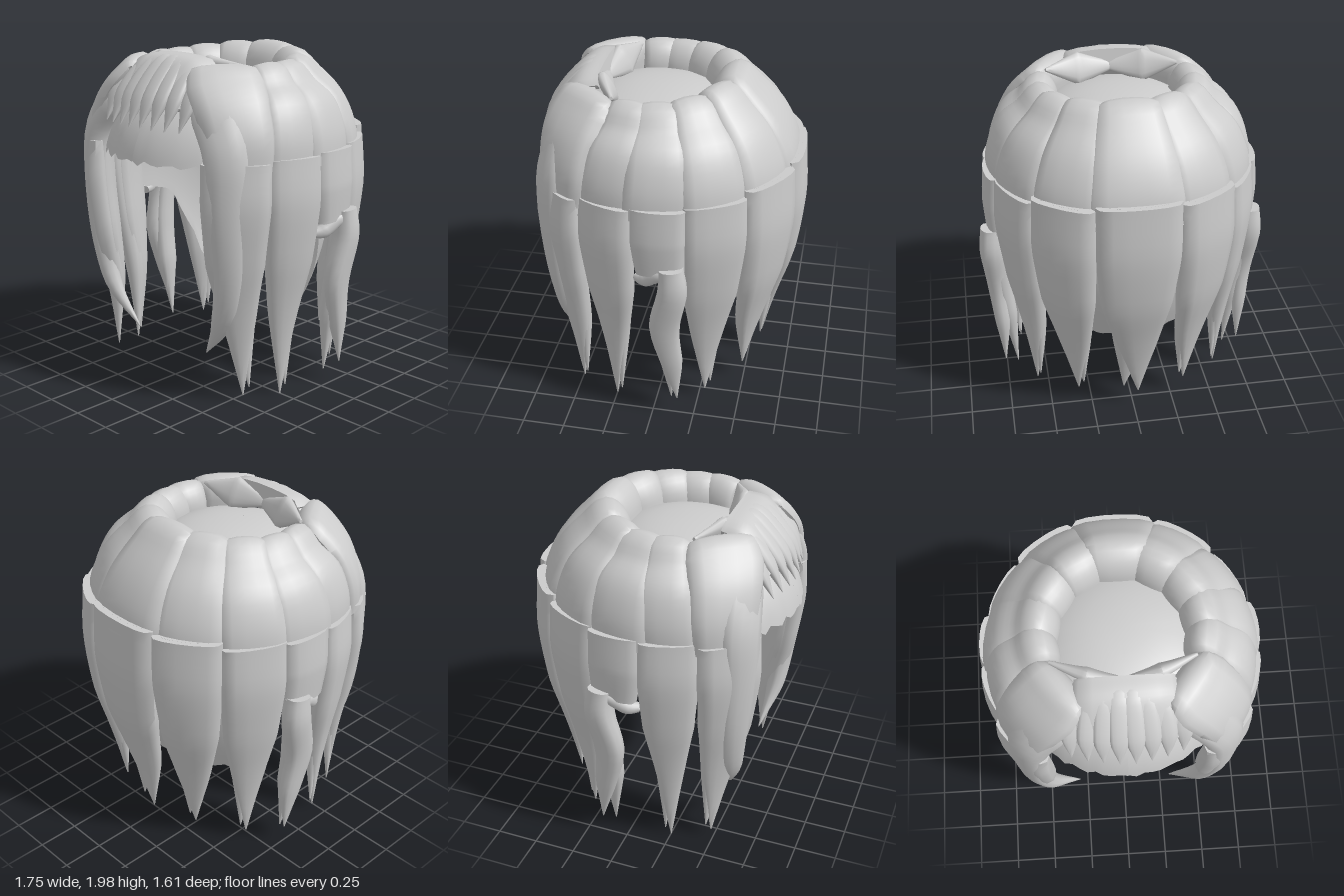
import * as THREE from 'three';
import { toCreasedNormals } from 'three/addons/utils/BufferGeometryUtils.js';

const material = new THREE.MeshStandardMaterial({ color: 0xcccccc, side: THREE.DoubleSide });
const V = (x, y, z) => new THREE.Vector3(x, y, z);
const lerp = THREE.MathUtils.lerp, rad = THREE.MathUtils.degToRad;

// linear interpolation along a short list, t in 0..1
function sample(list, t) {
  const f = t * (list.length - 1), i = Math.min(Math.floor(f), list.length - 2);
  return lerp(list[i], list[i + 1], f - i);
}

function meshFrom(name, pos, idx, crease) {
  const g = new THREE.BufferGeometry();
  g.setAttribute('position', new THREE.Float32BufferAttribute(pos, 3));
  g.setIndex(idx);
  const mesh = new THREE.Mesh(toCreasedNormals(g, crease), material);
  mesh.name = name;
  return mesh;
}

// lens-shaped lock swept along a path; side is the width direction
function strand(name, points, widths, thicks, side, steps = 18) {
  const curve = new THREE.CatmullRomCurve3(points, false, 'centripetal');
  const n = 14, pos = [], idx = [];
  for (let i = 0; i <= steps; i++) {
    const t = i / steps, p = curve.getPoint(t), T = curve.getTangent(t);
    const B = side ? side.clone() : V(p.x, 0, p.z).cross(T);
    B.addScaledVector(T, -B.dot(T)).normalize();
    const N = T.clone().cross(B), w = sample(widths, t), h = sample(thicks, t);
    for (let j = 0; j < n; j++) {
      const a = j / n * Math.PI * 2, s = Math.sin(a);
      const q = p.clone().addScaledVector(B, Math.cos(a) * w)
        .addScaledVector(N, Math.sign(s) * Math.abs(s) ** 0.65 * h);
      pos.push(q.x, q.y, q.z);
      if (i < steps) {
        const k = (j + 1) % n, r = i * n, u = r + n;
        idx.push(r + j, r + k, u + k, r + j, u + k, u + j);
      }
    }
  }
  // close both ends
  for (let j = 1; j < n - 1; j++) {
    const e = steps * n;
    idx.push(0, j + 1, j, e, e + j, e + j + 1);
  }
  return meshFrom(name, pos, idx, 0.9);
}

// point at an azimuth measured from the back (-z) towards +x
const polar = (deg, r, y, zc = 0.04) => V(Math.sin(rad(deg)) * r, y, zc - Math.cos(rad(deg)) * r);

// thin scalp shell with a ragged hairline: high at the face, low at the nape
function scalp() {
  const cols = 96, rows = 22, pos = [], idx = [];
  for (let i = 0; i <= cols; i++) {
    const deg = -180 + 360 * i / cols, fromBack = Math.abs(deg);
    let edge = lerp(0.44, 1.0, THREE.MathUtils.smoothstep(fromBack, 50, 82));
    if (fromBack > 85) edge = lerp(1.0, 1.4, THREE.MathUtils.smoothstep(fromBack, 85, 135));
    edge += 0.014 * Math.sin(i * 2.1) + 0.008 * Math.sin(i * 3.7);
    const front = 1 + 0.1 * Math.max(0, -Math.cos(rad(deg)));
    for (let j = 0; j <= rows; j++) {
      const t = j / rows, y = lerp(1.85, edge, t * t * (1.6 - 0.6 * t));
      const r = y > 1.15 ? 0.67 * Math.max(0, 1 - ((y - 1.15) / 0.7) ** 2.6) ** 0.42
        : 0.67 - 0.16 * ((1.15 - y) / 0.7) ** 2;
      const p = polar(deg, r * front, y, 0.09);
      pos.push(p.x, p.y, p.z);
      if (i < cols && j < rows) {
        const a = i * (rows + 1) + j, b = a + rows + 1;
        idx.push(a, b + 1, a + 1, a, b, b + 1);
      }
    }
  }
  return meshFrom('scalp', pos, idx, 1.2);
}

// one crown lobe, rolling from the side over the rim into the crown hollow
function crownLobe(deg, half, peak) {
  const profile = [[0.72, 1.38], [0.71, 1.54], [0.65, 1.7], [0.55, 1.84], [0.46, 1.935], [0.405, 1.89], [0.385, 1.74]];
  const path = [], widths = [];
  profile.forEach(([r, y], i) => {
    const t = i / (profile.length - 1);
    path.push(polar(deg * lerp(1, 0.88, t), r, y - (y > 1.8 ? 2 - peak : 0), lerp(0.04, 0.14, t)));
    widths.push(r * rad(half) * 1.12 + 0.01);
  });
  const a = rad(deg * 0.95);
  return strand('crownLobe', path, widths, [0.08, 0.075, 0.07, 0.065, 0.06, 0.05, 0.045], V(Math.cos(a), 0, Math.sin(a)), 24);
}

// a hanging lock with a main tip and a slimmer second tip close by
function hangingLock(deg, half, top, tip, spread, out = 1) {
  const w = 0.76 * rad(half) * 1.08, g = new THREE.Group();
  g.name = 'hangingLock';
  const path = (end, k) => [
    polar(deg, 0.755 * k, top), polar(deg, 0.76 * k, 1.2), polar(deg, 0.725 * k, 0.85),
    polar(deg, 0.69 * k, 0.5).lerp(V(end.x, 0.5, end.z), 0.5), end];
  const second = tip.clone().add(V(Math.cos(rad(deg)) * spread, 0.05, Math.sin(rad(deg)) * spread));
  g.add(strand('mainLock', path(tip, out), [w, w * 1.02, w * 0.86, w * 0.5, 0.003], [0.065, 0.08, 0.075, 0.055, 0.003]));
  g.add(strand('secondLock', path(second, out * 0.97), [w * 0.8, w * 0.85, w * 0.75, w * 0.4, 0.003],
    [0.06, 0.07, 0.06, 0.045, 0.003]));
  return g;
}

export function createModel() {
  const model = new THREE.Group();
  model.name = 'hair';
  model.add(scalp());

  // back centre, with the broad lock lining the inside of the nape
  model.add(crownLobe(0, 19, 2), hangingLock(0, 17, 1.53, V(-0.03, 0.11, -0.57), 0.09));
  model.add(strand('innerLock', [V(0, 1.5, -0.52), V(0, 1.2, -0.55), V(0, 0.82, -0.55)],
    [0.2, 0.19, 0.13], [0.04, 0.05, 0.01]));

  // azimuth, half angle, crown peak, lock top, lock tip, outward factor
  const locks = [
    [32, 14, 1.985, 1.51, [0.33, 0.12, -0.49], 1.01],
    [60, 13.5, 1.965, 1.47, [0.57, 0.07, -0.29], 0.99],
    [85, 13.5, 1.95],
    [107, 12, 1.95, 1.45, [0.64, 0.01, 0.25], 1],
    [132, 13.5, 0, 1.44, [0.56, 0.05, 0.48], 1.045]];

  for (const s of [1, -1]) {
    const m = (x, y, z) => V(s * x, y, z);
    for (const [deg, half, peak, top, tip, out] of locks) {
      if (peak) model.add(crownLobe(s * deg, half, peak));
      if (tip) model.add(hangingLock(s * deg, half, top, m(...tip), -s * 0.035, out));
    }

    // broad front crown lobe beside the fringe
    model.add(strand('frontCrownLobe', [m(0.585, 1.38, 0.53), m(0.575, 1.55, 0.525), m(0.51, 1.71, 0.51), m(0.42, 1.83, 0.475),
      m(0.36, 1.89, 0.435), m(0.32, 1.86, 0.41), m(0.31, 1.74, 0.4)],
      [0.18, 0.195, 0.21, 0.22, 0.2, 0.17, 0.15], [0.08, 0.08, 0.075, 0.065, 0.06, 0.05, 0.04], m(-0.62, 0, 0.78), 24));

    // inner lock beside the nape
    model.add(strand('innerLock', [m(0.3, 1.5, -0.43), m(0.31, 1.2, -0.46), m(0.32, 0.82, -0.47)],
      [0.12, 0.11, 0.05], [0.04, 0.05, 0.01]));

    // lock over the ear, tucked back and falling behind it
    model.add(strand('earLock', [m(0.755, 1.46, -0.04), m(0.765, 1.25, -0.04), m(0.76, 1.05, -0.05)],
      [0.16, 0.16, 0.14], [0.065, 0.07, 0.06]));
    model.add(strand('earTuck', [m(0.73, 0.98, 0.09), m(0.76, 0.99, 0.03), m(0.79, 1.05, -0.06), m(0.8, 1.07, -0.17)],
      [0.025, 0.04, 0.04, 0.03], [0.03, 0.045, 0.045, 0.03], V(0, 1, 0)));
    model.add(strand('behindEarLock', [m(0.79, 1.1, -0.12), m(0.8, 0.95, -0.13), m(0.785, 0.68, -0.08),
      m(0.765, 0.4, -0.12), m(0.76, 0.13, -0.15)], [0.07, 0.085, 0.09, 0.065, 0.003], [0.07, 0.075, 0.06, 0.045, 0.003]));
    model.add(strand('behindEarLock', [m(0.76, 1.1, -0.14), m(0.76, 0.75, -0.1), m(0.72, 0.45, -0.09),
      m(0.68, 0.07, -0.1)], [0.05, 0.07, 0.065, 0.003], [0.05, 0.06, 0.05, 0.003]));

    // long strand framing the face
    model.add(strand('faceStrand', [m(0.34, 1.81, 0.54), m(0.43, 1.7, 0.575), m(0.54, 1.5, 0.6), m(0.56, 1.2, 0.61),
      m(0.55, 0.8, 0.59), m(0.48, 0.5, 0.57), m(0.3, 0.25, 0.52)],
      [0.1, 0.14, 0.13, 0.115, 0.085, 0.065, 0.003], [0.05, 0.075, 0.085, 0.08, 0.07, 0.05, 0.003], null, 28));

    // leaf-shaped end of the fringe, facing the crown hollow
    model.add(strand('fringeRoot', [m(0, 1.88, 0.4), m(0.2, 1.89, 0.36), m(0.4, 1.92, 0.29)],
      [0.03, 0.1, 0.01], [0.015, 0.04, 0.01], V(0, 1, 0.5)));
  }

  // fringe: a broad base with pointed locks fanned over it
  model.add(strand('fringeBase', [V(0, 1.93, 0.4), V(0, 1.91, 0.5), V(0, 1.83, 0.59), V(0, 1.71, 0.68)],
    [0.27, 0.28, 0.29, 0.29], [0.055, 0.06, 0.055, 0.04], V(1, 0, 0)));
  for (let i = 0; i < 8; i++) {
    const x = (i - 3.5) * 0.088, d = 0.6 * x * x;
    model.add(strand('fringeLock', [V(x * 0.75, 1.955 - d, 0.42), V(x * 0.8, 1.945 - d, 0.51), V(x * 0.9, 1.865, 0.61 - d),
      V(x, 1.74, 0.71 - d), V(x, 1.59, 0.785 - d)], [0.05, 0.06, 0.06, 0.055, 0.002],
      [0.02, 0.028, 0.028, 0.028, 0.002], V(1, 0, 0), 14));
  }
  return model;
}
